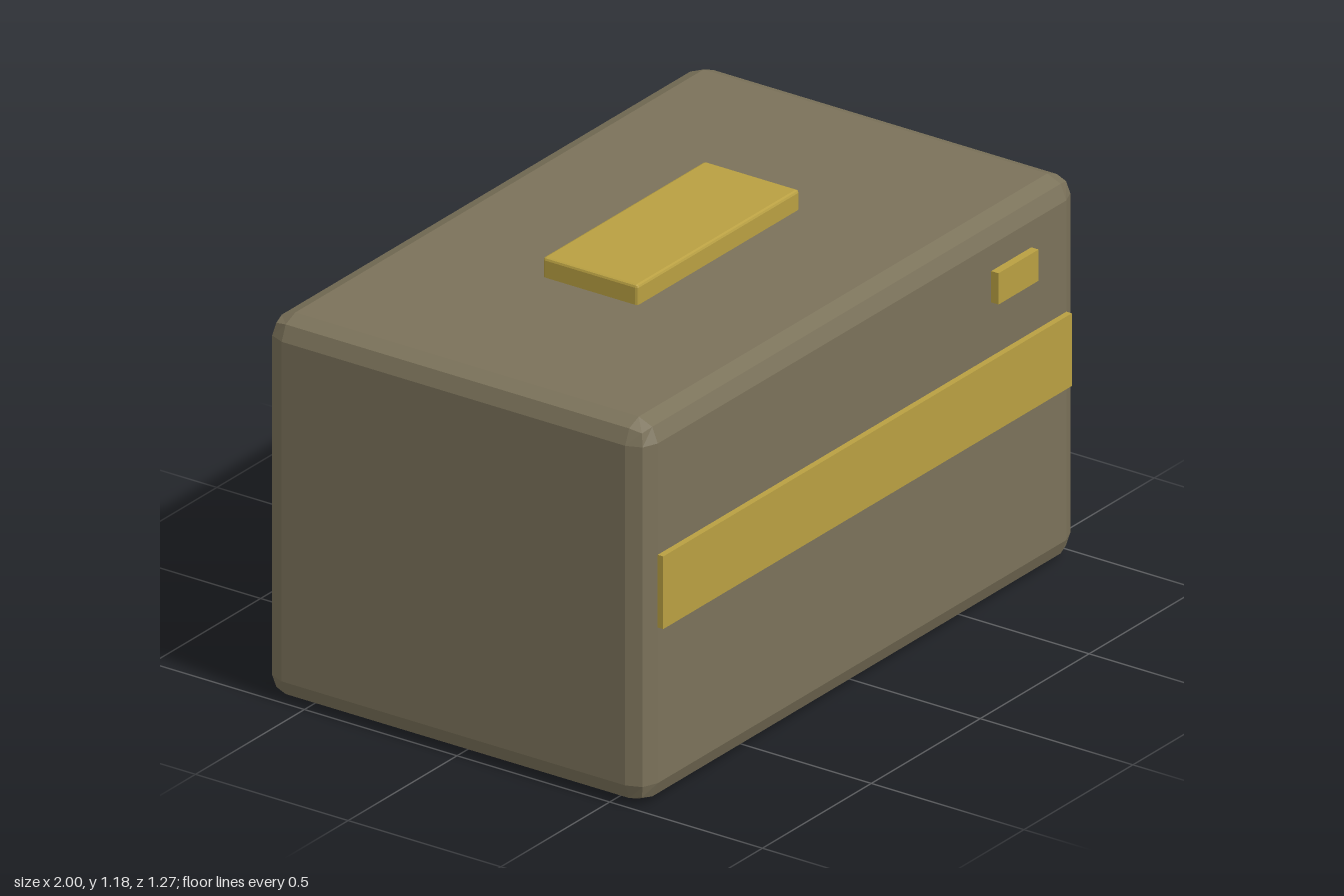
import * as THREE from 'three';
import { RoundedBoxGeometry } from 'three/addons/geometries/RoundedBoxGeometry.js';

const brown = new THREE.MeshStandardMaterial({ color: 0x7b725a });
brown.name = 'olive brown';
const gold = new THREE.MeshStandardMaterial({ color: 0xb9a042 });
gold.name = 'brass gold';

// Box given by its min and max corners; bevel > 0 gives two-facet edges
function block(name, material, min, max, bevel = 0) {
  const size = max.map((v, i) => v - min[i]);
  const geometry = bevel
    ? new RoundedBoxGeometry(...size, 1, bevel)
    : new THREE.BoxGeometry(...size);
  if (bevel) geometry.computeVertexNormals(); // flat facets
  const mesh = new THREE.Mesh(geometry, material);
  mesh.name = name;
  mesh.position.set(...max.map((v, i) => (v + min[i]) / 2));
  return mesh;
}

export function createModel() {
  const group = new THREE.Group();
  group.name = 'chest';
  group.add(
    // Bevelled body
    block('body', brown, [-1, 0, -0.637], [1, 1.125, 0.613], 0.0625),
    // Raised plate on the lid
    block('topPlate', gold, [-0.372, 1.1, -0.168], [0.372, 1.183, 0.143], 0.008),
    // Wide band and small latch on the front
    block('frontBand', gold, [-0.938, 0.521, 0.59], [0.938, 0.735, 0.631]),
    block('latch', gold, [0.593, 0.894, 0.59], [0.777, 0.986, 0.637]),
  );
  return group;
}
